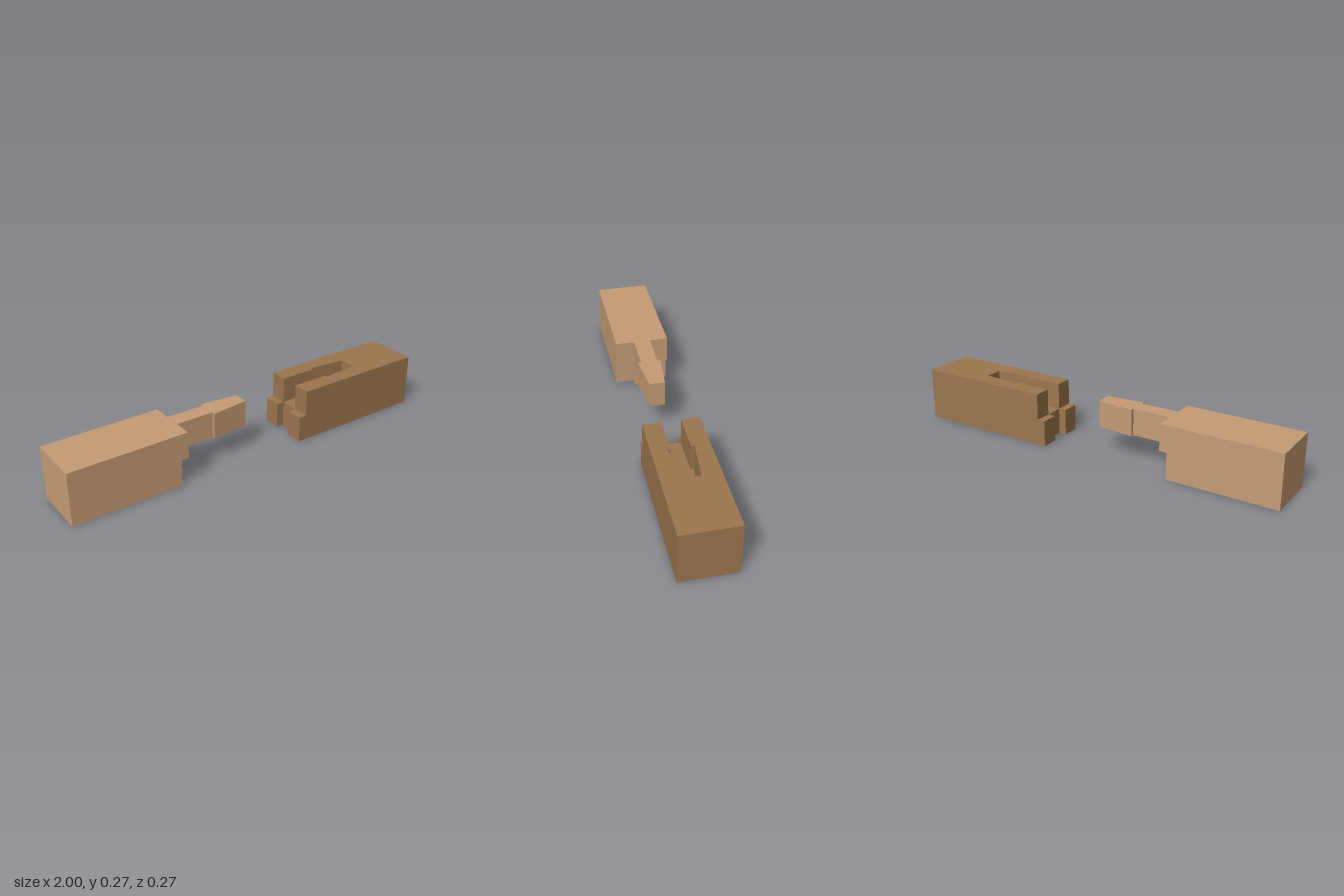
import * as THREE from 'three';

const HALF = 0.136, SPLIT = 0.135, TOP = 0.27;

// Extrudes a plan outline, mirrored about z = 0, from height y0 to y1.
// half: points [x, z] of one side, running from one end to the other.
function slab(name, half, y0, y1, material) {
  const other = half.map(([x, z]) => [x, -z]).reverse();
  const shape = new THREE.Shape([...half, ...other].map(([x, z]) => new THREE.Vector2(x, z)));
  const geometry = new THREE.ExtrudeGeometry(shape, { depth: y1 - y0, bevelEnabled: false });
  geometry.rotateX(-Math.PI / 2);
  geometry.translate(0, y0, 0);
  const mesh = new THREE.Mesh(geometry, material);
  mesh.name = name;
  return mesh;
}

export function createModel() {
  const lightWood = new THREE.MeshStandardMaterial({ color: 0xc69c75 });
  lightWood.name = 'light wood';
  const darkWood = new THREE.MeshStandardMaterial({ color: 0x9c764e });
  darkWood.name = 'dark wood';

  // Tenon beam: flared head on a neck above, short stub below
  const tenonBeam = new THREE.Group();
  tenonBeam.name = 'tenonBeam';
  tenonBeam.add(
    slab('gooseneckTenon', [
      [-1, -HALF], [-0.405, -HALF], [-0.405, -0.042], [-0.21, -0.042],
      [-0.21, -0.058], [-0.015, -0.039],
    ], SPLIT, TOP, lightWood),
    slab('stubTenon', [
      [-1, -HALF], [-0.443, -HALF], [-0.443, -0.042], [-0.405, -0.042],
    ], 0, SPLIT, lightWood),
  );

  // Mortise beam: matching socket above, notched lip below
  const mortiseBeam = new THREE.Group();
  mortiseBeam.name = 'mortiseBeam';
  mortiseBeam.add(
    slab('gooseneckSocket', [
      [0.68, -0.043], [0.483, -0.062], [0.483, -0.047], [0.29, -0.047],
      [0.29, -HALF], [1, -HALF],
    ], SPLIT, TOP, darkWood),
    slab('notchedLip', [
      [0.29, -0.047], [0.25, -0.047], [0.25, -HALF], [1, -HALF],
    ], 0, SPLIT, darkWood),
  );

  const model = new THREE.Group();
  model.name = 'timberJoint';
  model.add(tenonBeam, mortiseBeam);
  return model;
}
